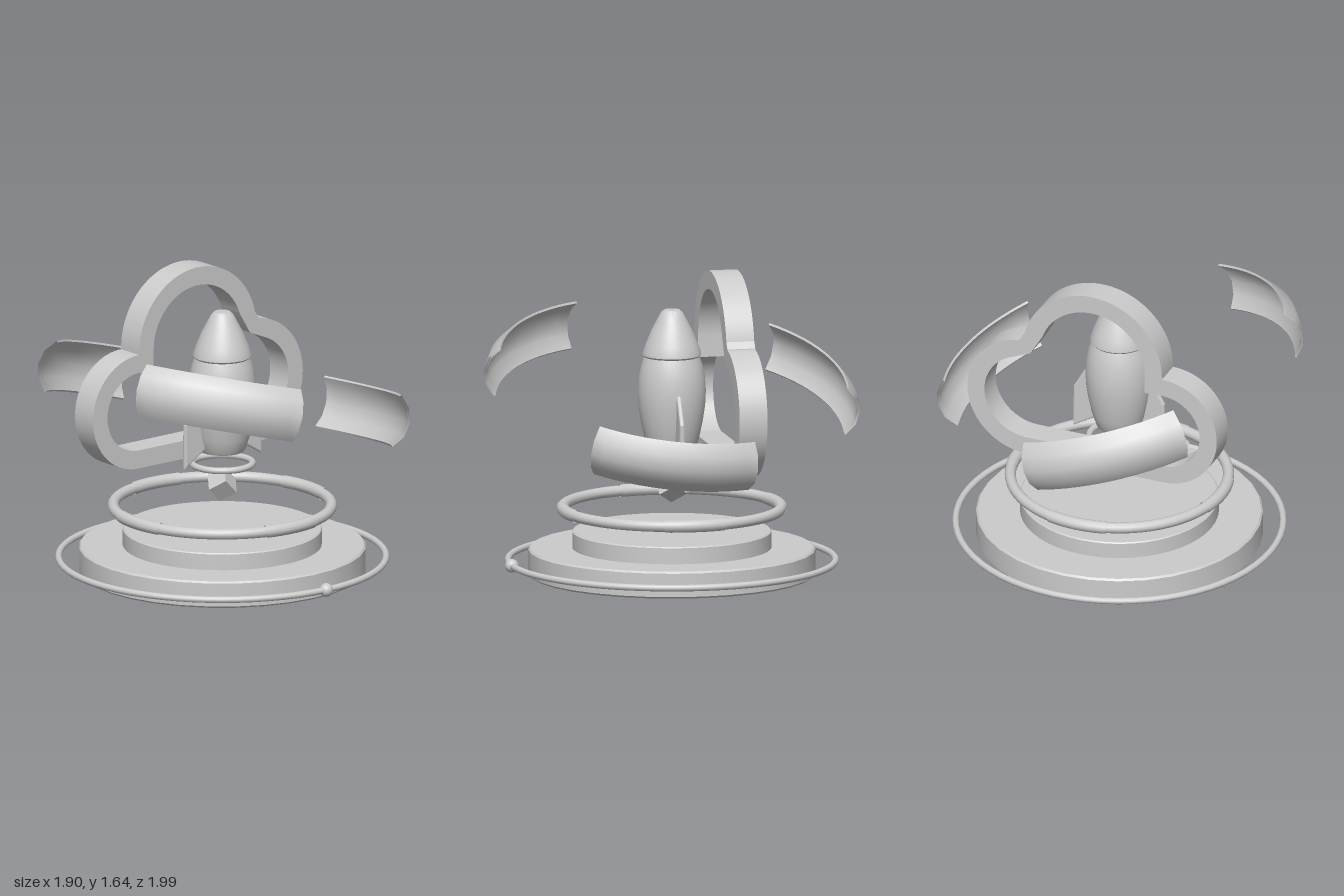
import * as THREE from 'three';
import { toCreasedNormals } from 'three/addons/utils/BufferGeometryUtils.js';

const grey = new THREE.MeshStandardMaterial({ color: 0xcccccc });
const greyDouble = new THREE.MeshStandardMaterial({ color: 0xcccccc, side: THREE.DoubleSide });
const rad = THREE.MathUtils.degToRad;
const CX = -0.04, CZ = 0.02; // shared axis of base, rings and rocket

function add(parent, name, geometry, material = grey) {
  const mesh = new THREE.Mesh(geometry, material);
  mesh.name = name;
  parent.add(mesh);
  return mesh;
}

const lathe = (points, segments) => toCreasedNormals(
  new THREE.LatheGeometry(points.map(([r, y]) => new THREE.Vector2(r, y)), segments), 0.6);

// Disc with a small bevel on both rims
const disc = (r, y0, y1, segments, b = 0.01) => lathe(
  [[0, y0], [r - b, y0], [r, y0 + b], [r, y1 - b], [r - b, y1], [0, y1]], segments);

const flatRing = (r, tube, y, segments, arc = Math.PI * 2) =>
  new THREE.TorusGeometry(r, tube, 12, segments, arc)
    .rotateZ(-arc / 2).rotateX(Math.PI / 2).translate(0, y, 0);

function buildBase() {
  const base = new THREE.Group();
  base.name = 'base';
  add(base, 'lowerDisc', disc(0.77, 0, 0.147, 32));
  add(base, 'upperDisc', disc(0.534, 0.14, 0.24, 48, 0.006));
  add(base, 'orbitRing', flatRing(0.878, 0.018, 0.078, 64));
  add(base, 'orbitBall', new THREE.SphereGeometry(0.037, 20, 14).translate(0, 0.078, 0.878));
  add(base, 'floatingRing', flatRing(0.585, 0.03, 0.362, 64));
  // Thicker sleeves on the floating ring
  for (let i = 0; i < 4; i++) {
    add(base, 'ringSleeve', flatRing(0.585, 0.034, 0.362, 10, rad(32)), greyDouble)
      .rotation.y = i * Math.PI / 2;
  }
  return base;
}

function buildRocket() {
  const rocket = new THREE.Group();
  rocket.name = 'rocket';
  add(rocket, 'body', lathe([[0, 0.668], [0.117, 0.668], [0.125, 0.68], [0.148, 0.75], [0.167, 0.84],
    [0.179, 0.92], [0.183, 1.0], [0.177, 1.08], [0.163, 1.145], [0.148, 1.187], [0, 1.187]], 40));
  add(rocket, 'noseCone', lathe([[0, 1.186], [0.15, 1.186], [0.158, 1.195], [0.156, 1.21], [0.14, 1.255],
    [0.11, 1.328], [0.075, 1.395], [0.058, 1.425], [0.043, 1.438], [0, 1.44]], 40));
  add(rocket, 'exhaustRing', flatRing(0.162, 0.018, 0.597, 48));

  // Side fins, thinning towards their edges
  const finShape = new THREE.Shape([[0.13, 1.05], [0.175, 1.01], [0.265, 0.85], [0.265, 0.61], [0.11, 0.703]]
    .map(([x, y]) => new THREE.Vector2(x, y)));
  const finGeometry = new THREE.ExtrudeGeometry(finShape, {
    depth: 0.01, bevelSize: 0.012, bevelOffset: -0.012, bevelThickness: 0.008, bevelSegments: 2,
  }).translate(0, 0, -0.005);
  for (const turn of [0, Math.PI]) add(rocket, 'fin', finGeometry).rotation.y = turn;

  // Tumbling cube below the exhaust
  const cube = add(rocket, 'cube', new THREE.BoxGeometry(0.108, 0.108, 0.108));
  cube.position.y = 0.48;
  cube.rotation.set(rad(45), 0, rad(-45), 'ZXY');
  return rocket;
}

// Cloud frame: three lobes on a flat bottom, with an offset opening
function buildCloud() {
  const left = [-0.447, 0.907], top = [-0.036, 1.233], right = [0.345, 0.938];
  const outline = (inset, topEnd, notch, rightStart, leftNotch) => {
    const path = new THREE.Path();
    path.absarc(...left, 0.315 - inset, Math.PI * 1.5, Math.PI / 2, true);
    path.lineTo(...leftNotch);
    path.absarc(...top, 0.406 - inset, Math.PI, topEnd, true);
    path.lineTo(...notch);
    path.absarc(...right, 0.346 - inset, rightStart, -Math.PI / 2, true);
    return path.getPoints(32);
  };
  // Outer edge runs anticlockwise, opening clockwise
  const shape = new THREE.Shape(outline(0, 0.22, [0.386, 1.287], 1.45, [-0.442, 1.222]).reverse());
  shape.holes.push(new THREE.Path(outline(0.1, 0.33, [0.325, 1.213], 1.2, [-0.342, 1.12])));
  const geometry = new THREE.ExtrudeGeometry(shape, { depth: 0.153, bevelEnabled: false });
  return toCreasedNormals(geometry.translate(0, 0, -0.344), 0.35);
}

// Thin shell panel: an arc section swept part of the way round the axis
function buildPanelGeometry() {
  const span = rad(54), half = rad(53), steps = 4, pivot = 0.95;
  const points = [];
  const arc = (r, from, to) => {
    for (let i = 0; i <= steps; i++) {
      const a = from + (to - from) * i / steps;
      points.push(new THREE.Vector2(0.815 + r * Math.cos(a), r * Math.sin(a)));
    }
  };
  arc(0.178, -half, half);
  arc(0.166, half, -half);
  points.push(points[0].clone());
  const geometry = new THREE.LatheGeometry(points, 14, -span / 2, span).translate(0, 0, -pivot);
  return toCreasedNormals(geometry, 0.5);
}

export function createModel() {
  const model = new THREE.Group();
  model.name = 'rocketDisplay';

  for (const part of [buildBase(), buildRocket()]) {
    part.position.set(CX, 0, CZ);
    model.add(part);
  }
  add(model, 'cloudFrame', buildCloud());

  // Floating panels: heading, distance from the axis, height, outward lean, sideways tilt
  const panelGeometry = buildPanelGeometry();
  const panels = [
    [-40.3, 0.953, 1.184, -12, -9],
    [78.5, 0.95, 0.744, 15, -6.5],
    [-162, 0.97, 0.997, -5, 16],
  ];
  for (const [heading, distance, y, lean, tilt] of panels) {
    const panel = add(model, 'floatingPanel', panelGeometry, greyDouble);
    const a = rad(heading);
    panel.position.set(CX + distance * Math.sin(a), y, CZ + distance * Math.cos(a));
    panel.rotation.set(rad(lean), a, rad(tilt), 'YXZ');
  }
  return model;
}
